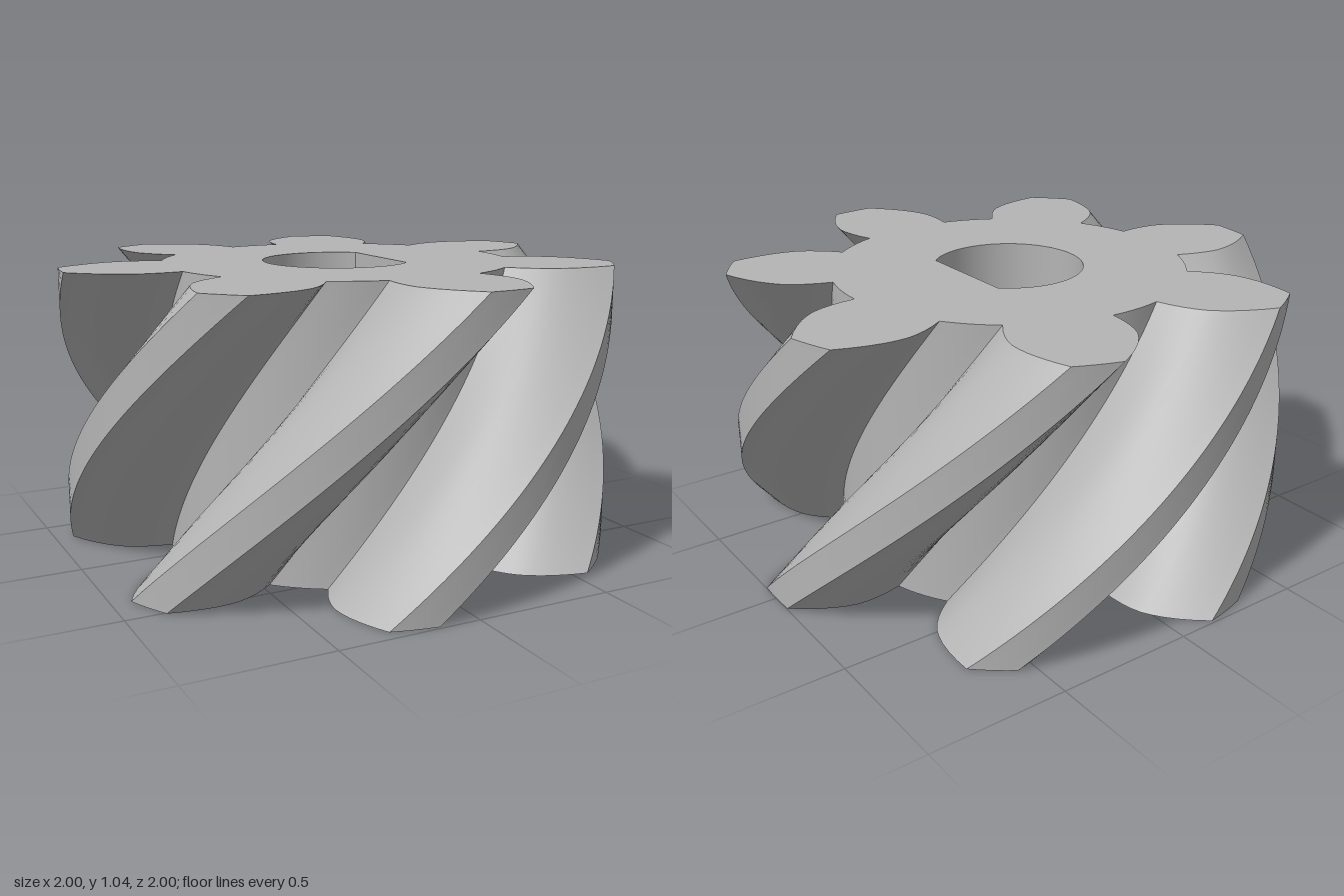
import * as THREE from 'three';
import { toCreasedNormals } from 'three/addons/utils/BufferGeometryUtils.js';

const HEIGHT = 1.036, TEETH = 7, RAD = Math.PI / 180;
const TOP_TURN = -84.9 * RAD;      // tooth direction on the top face
const TWIST = -69.4 * RAD;         // extra turn reached at the bottom face
const BORE = 0.27, FLAT = 0.185;   // D-shaped shaft hole

// Right half of one tooth: [radius, half angle in degrees], root to tip
const FLANK = [[0.638, 16.6], [0.69, 16.4], [0.735, 15.9], [0.775, 15.2], [0.81, 14.3],
  [0.845, 12.9], [0.88, 11.3], [0.92, 9.2], [0.96, 7], [1, 4.7]];

const polar = (r, a) => new THREE.Vector2(r * Math.cos(a), r * Math.sin(a));
const turned = (points, a) => points.map(p => p.clone().rotateAround(new THREE.Vector2(), a));

function gearOutline() {
  const pts = [], pitch = 360 / TEETH, rootHalf = FLANK[0][1], tipHalf = FLANK.at(-1)[1];
  for (let t = 0; t < TEETH; t++) {
    const add = (r, deg) => pts.push(polar(r, (t * pitch + deg) * RAD));
    FLANK.forEach(([r, h]) => add(r, -h));
    for (let i = 1; i < 4; i++) add(1, tipHalf * (i / 2 - 1));
    [...FLANK].reverse().forEach(([r, h]) => add(r, h));
    for (let i = 1; i < 5; i++) add(FLANK[0][0], rootHalf + (pitch - 2 * rootHalf) * i / 5);
  }
  return pts;
}

function boreOutline() {
  const start = Math.acos(FLAT / BORE), n = 56;
  return Array.from({ length: n + 1 }, (_, i) =>
    polar(BORE, start + (2 * Math.PI - 2 * start) * i / n));
}

// Wall swept upward from an outline, turning steadily with height
function wall(points, turnBottom, turnTop, layers) {
  const pos = [], index = [], n = points.length;
  for (let j = 0; j <= layers; j++) {
    const t = j / layers;
    turned(points, turnBottom + (turnTop - turnBottom) * t)
      .forEach(p => pos.push(p.x, t * HEIGHT, -p.y));
  }
  for (let j = 0; j < layers; j++) {
    for (let i = 0; i < n; i++) {
      const a = j * n + i, b = j * n + (i + 1) % n;
      index.push(a, b, b + n, a, b + n, a + n);
    }
  }
  const g = new THREE.BufferGeometry();
  g.setAttribute('position', new THREE.Float32BufferAttribute(pos, 3));
  g.setIndex(index);
  return toCreasedNormals(g, 30 * RAD);
}

// Flat end face with the bore cut out; side is 1 for up, -1 for down
function endFace(outline, bore, side, y) {
  const flip = pts => pts.map(p => new THREE.Vector2(p.x, side * p.y));
  const shape = new THREE.Shape(flip(outline));
  shape.holes.push(new THREE.Path(flip(bore)));
  return new THREE.ShapeGeometry(shape).rotateX(-side * Math.PI / 2).translate(0, y, 0);
}

export function createModel() {
  const group = new THREE.Group();
  group.name = 'helicalGear';
  const steel = new THREE.MeshStandardMaterial({ color: 0xb4b4b4 });
  steel.name = 'grey steel';
  const add = (name, geometry) => {
    const mesh = new THREE.Mesh(geometry, steel);
    mesh.name = name;
    group.add(mesh);
  };

  const gear = gearOutline(), bore = boreOutline();
  add('helicalTeeth', wall(gear, TOP_TURN + TWIST, TOP_TURN, 48));
  add('shaftBore', wall([...bore].reverse(), 0, 0, 1));
  add('topFace', endFace(turned(gear, TOP_TURN), bore, 1, HEIGHT));
  add('bottomFace', endFace(turned(gear, TOP_TURN + TWIST), bore, -1, 0));
  return group;
}
